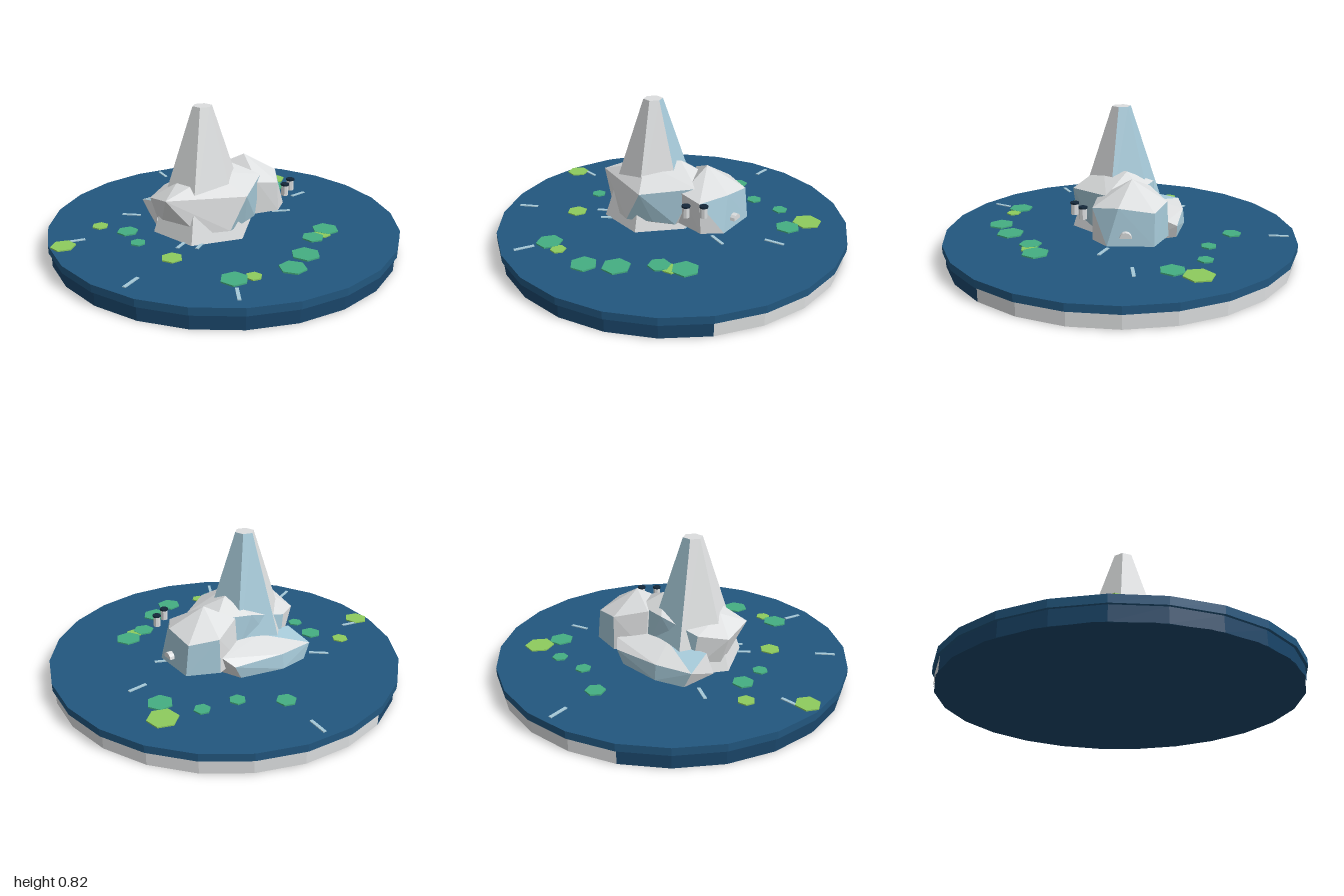
import * as THREE from 'three';
import { ConvexGeometry } from 'three/addons/geometries/ConvexGeometry.js';

const mat = (name, color) => {
  const m = new THREE.MeshStandardMaterial({ color });
  m.name = name;
  return m;
};
const rad = THREE.MathUtils.degToRad;

export function createModel() {
  const water = mat('water blue', 0x22577f);
  const deep = mat('deep blue', 0x1a466a);
  const snow = mat('snow grey', 0xdcdedf);
  const ice = mat('ice blue', 0xa6c9d8);
  const green = mat('leaf green', 0x45ae82);
  const lime = mat('lime green', 0x8ecb5e);
  const dark = mat('dark navy', 0x14283a);

  const model = new THREE.Group();
  const add = (name, geo, material, x = 0, y = 0, z = 0, parent = model) => {
    const flat = geo.index ? geo.toNonIndexed() : geo;
    flat.computeVertexNormals();
    const mesh = new THREE.Mesh(flat, material);
    mesh.name = name;
    mesh.position.set(x, y, z);
    parent.add(mesh);
    return mesh;
  };

  // Round base: water slab over a band that is part blue, part grey
  const wall = (rt, rb, h, segs, from, sweep) =>
    new THREE.CylinderGeometry(rt, rb, h, segs, 1, true, rad(from), rad(sweep));
  add('waterSlab', new THREE.CylinderGeometry(1, 1, 0.042, 24, 1, false, rad(2)), water, 0, 0.101, 0);
  add('baseBandGrey', wall(0.985, 0.985, 0.08, 10, 47, 150), snow, 0, 0.04, 0);
  add('baseBandBlue', wall(0.985, 0.985, 0.08, 14, 197, 210), deep, 0, 0.04, 0);
  const under = new THREE.CircleGeometry(0.985, 24, rad(2 - 90));
  under.rotateX(Math.PI / 2);
  add('baseUnderside', under, deep, 0, 0, 0);

  // Six-sided peak with two icy sides
  const peak = new THREE.Group();
  peak.name = 'peak';
  peak.position.set(-0.135, 0.47, -0.005);
  model.add(peak);
  add('peakSnowSides', wall(0.055, 0.29, 0.7, 4, 195, 240), snow, 0, 0, 0, peak);
  add('peakIceSides', wall(0.055, 0.29, 0.7, 2, 75, 120), ice, 0, 0, 0, peak);
  const tip = new THREE.CircleGeometry(0.055, 6, rad(-75));
  tip.rotateX(-Math.PI / 2);
  add('peakTip', tip, snow, 0, 0.35, 0, peak);

  // Faceted rock from corner points; faces turned towards an icy direction are blue
  const rock = (name, corners, icy) => {
    const hull = new ConvexGeometry(corners.map((c) => new THREE.Vector3(...c)));
    const pos = hull.attributes.position;
    const lists = [[], []];
    const tri = new THREE.Triangle();
    const n = new THREE.Vector3();
    for (let i = 0; i < pos.count; i += 3) {
      tri.setFromAttributeAndIndices(pos, i, i + 1, i + 2);
      tri.getNormal(n);
      const blue = icy.some(([x, y, z, cos]) => n.dot(new THREE.Vector3(x, y, z).normalize()) > cos);
      for (const v of [tri.a, tri.b, tri.c]) lists[blue ? 1 : 0].push(v.x, v.y, v.z);
    }
    const group = new THREE.Group();
    group.name = name;
    model.add(group);
    lists.forEach((list, k) => {
      if (!list.length) return;
      const geo = new THREE.BufferGeometry();
      geo.setAttribute('position', new THREE.Float32BufferAttribute(list, 3));
      add(k ? 'iceFaces' : 'snowFaces', geo, k ? ice : snow, 0, 0, 0, group);
    });
  };

  rock('mainRock', [
    [-0.43, 0.36, 0.09], [-0.03, 0.36, 0.27], [0.21, 0.385, 0.07], [0.12, 0.17, 0.14],
    [0.01, 0.18, 0.2], [-0.29, 0.17, 0.18], [-0.13, 0.18, 0.26], [-0.31, 0.41, 0],
    [0.03, 0.475, -0.04], [-0.12, 0.47, 0.1], [-0.42, 0.32, -0.1], [-0.36, 0.13, -0.1],
    [-0.28, 0.34, -0.19], [-0.05, 0.4, -0.19], [0.14, 0.4, -0.12], [0.08, 0.13, -0.18],
    [-0.25, 0.13, -0.2],
  ], [[0.6, -0.2, 0.75, 0.9], [0.3, 0.3, -0.9, 0.85]]);

  rock('rightRock', [
    [0.19, 0.475, -0.07], [0.37, 0.365, 0], [0.28, 0.34, 0.14], [0.15, 0.36, 0.12],
    [0.37, 0.34, -0.19], [0.22, 0.36, -0.26], [0.05, 0.4, -0.17], [0.39, 0.165, 0.06],
    [0.39, 0.165, -0.19], [0.29, 0.165, 0.14], [0.1, 0.165, 0.1], [0.22, 0.165, -0.27],
    [0.05, 0.165, -0.2], [0.27, 0.122, 0.02], [0.27, 0.122, -0.1], [0.1, 0.122, -0.05],
  ], [[1, 0.1, 0, 0.75], [0.3, -1, 0, 0.6], [0.4, 0.1, -0.9, 0.85]]);

  rock('backRock', [
    [-0.34, 0.21, -0.355], [0.2, 0.24, -0.26], [0.16, 0.2, -0.32], [-0.13, 0.122, -0.38],
    [-0.3, 0.122, -0.36], [0.12, 0.122, -0.32], [-0.36, 0.122, -0.15], [-0.33, 0.25, -0.18],
    [0.1, 0.27, -0.18], [0.2, 0.122, -0.13], [-0.1, 0.27, -0.2], [-0.13, 0.21, -0.37],
  ], [[0.15, 0, -1, 0.95], [-0.1, 1, 0, 0.97]]);

  // Small rounded ledge on the right rock
  const ledge = new THREE.CylinderGeometry(0.032, 0.032, 0.04, 6, 1, false, 0, Math.PI);
  ledge.rotateZ(Math.PI / 2);
  add('ledge', ledge, snow, 0.392, 0.215, -0.04);

  // Pair of short posts with dark caps
  for (const [x, z] of [[0.258, 0.235], [0.337, 0.185]]) {
    add('post', new THREE.CylinderGeometry(0.02, 0.02, 0.06, 8), snow, x, 0.328, z);
    add('postCap', new THREE.CylinderGeometry(0.024, 0.024, 0.01, 8), dark, x, 0.361, z);
  }

  // Floating six-sided leaves: x, z, radius
  const leaves = (name, material, y, list) => list.forEach(([x, z, r], i) =>
    add(name, new THREE.CylinderGeometry(r, r, 0.01, 6, 1, false, rad(10 + (i * 17) % 30)), material, x, y, z));
  leaves('greenLeaf', green, 0.125, [
    [0.07, -0.635, 0.055], [0.27, -0.485, 0.045], [0.465, -0.45, 0.045], [0.605, -0.275, 0.07],
    [-0.54, -0.155, 0.06], [-0.56, 0.01, 0.043], [-0.365, 0.635, 0.073], [-0.055, 0.7, 0.073],
    [0.095, 0.62, 0.078], [0.265, 0.48, 0.062], [0.395, 0.435, 0.075],
  ]);
  leaves('limeLeaf', lime, 0.124, [
    [0.665, -0.4, 0.083], [-0.635, -0.31, 0.047], [-0.91, -0.175, 0.068], [-0.5, 0.27, 0.058],
    [-0.27, 0.665, 0.043], [0.335, 0.475, 0.048],
  ]);

  // Pale ripples on the water: centre x, z and direction dx, dz
  for (const [x, z, dx, dz] of [
    [0.095, -0.895, 0.01, -0.11], [-0.41, -0.365, 0.08, 0.07], [-0.83, -0.205, 0.11, 0.025],
    [0.625, -0.08, 0.11, -0.01], [-0.79, 0.385, 0.1, -0.05], [-0.43, 0.76, 0.055, -0.1],
    [0.36, 0.08, 0.1, 0.045], [-0.37, 0.155, 0.09, -0.05], [-0.29, 0.215, 0.09, -0.06],
  ]) {
    const ripple = add('ripple', new THREE.BoxGeometry(0.11, 0.006, 0.018), ice, x, 0.124, z);
    ripple.rotation.y = Math.atan2(-dz, dx);
  }

  return model;
}
